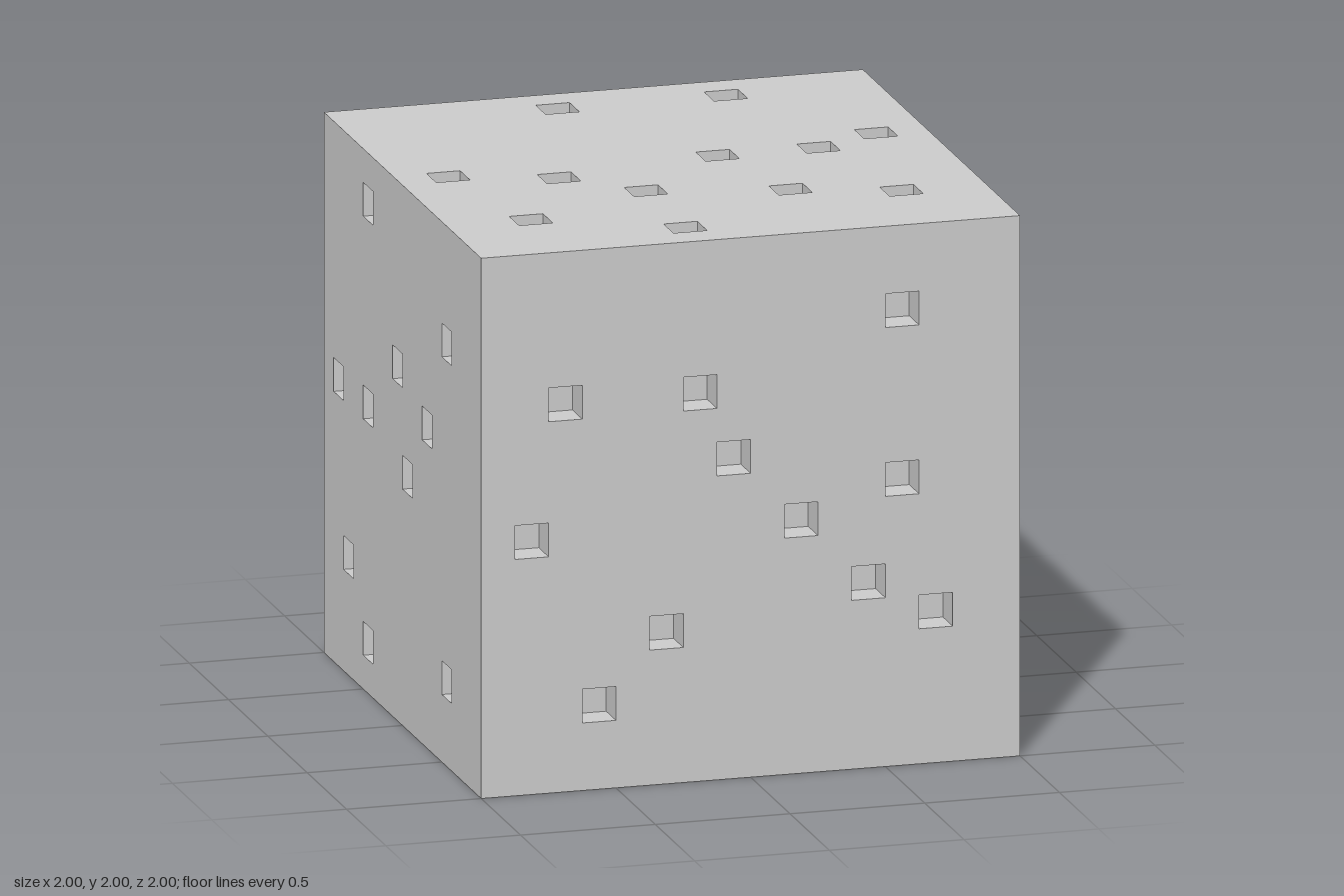
import * as THREE from 'three';
import { mergeGeometries } from 'three/addons/utils/BufferGeometryUtils.js';

const CELL = 2 / 16; // each face is a 16 x 16 grid; a pocket is one cell wide and deep
const H = Math.PI / 2;

// Pocket cells [column, row] of each face, counted from its lower left corner seen from outside
const FACES = {
  front: { turn: [0, 0], cells: [[2, 11], [6, 11], [12, 13], [7, 9], [12, 8], [1, 7], [9, 7], [11, 5], [13, 4], [5, 4], [3, 2]] },
  plusX: { turn: [0, H], cells: [[1, 12], [6, 13], [5, 10], [13, 11], [8, 8], [4, 6], [14, 6], [2, 5], [9, 5], [4, 2], [12, 2], [6, 1]] },
  back: { turn: [0, Math.PI], cells: [[5, 13], [9, 13], [1, 10], [3, 9], [8, 10], [14, 12], [2, 5], [6, 5], [12, 7], [8, 1]] },
  minusX: { turn: [0, -H], cells: [[4, 14], [12, 12], [7, 10], [10, 9], [4, 8], [8, 7], [1, 8], [12, 2], [2, 3], [4, 1]] },
  top: { turn: [-H, 0], cells: [[6, 14], [11, 14], [1, 8], [4, 7], [9, 8], [12, 8], [14, 9], [6, 5], [10, 4], [2, 3], [13, 3], [6, 1]] },
  bottom: { turn: [H, 0], cells: [[14, 3], [12, 1], [8, 1], [11, 8], [8, 8], [5, 5], [2, 3], [12, 13], [3, 8], [1, 8], [1, 11], [5, 14], [3, 13]] },
};

const centre = (i) => -1 + (i + 0.5) * CELL;

function square(path, x, y, half) {
  path.moveTo(x - half, y - half);
  path.lineTo(x + half, y - half);
  path.lineTo(x + half, y + half);
  path.lineTo(x - half, y + half);
  path.closePath();
  return path;
}

// Open square recess: a floor and four inward-facing walls
function pocketGeometry(x, y) {
  const parts = [new THREE.PlaneGeometry(CELL, CELL).translate(0, 0, -CELL)];
  for (let i = 0; i < 4; i++) {
    parts.push(new THREE.PlaneGeometry(CELL, CELL).rotateX(-H)
      .translate(0, -CELL / 2, -CELL / 2).rotateZ(i * H));
  }
  return mergeGeometries(parts).translate(x, y, 0);
}

export function createModel() {
  const model = new THREE.Group();
  model.name = 'pocketedCube';
  const material = new THREE.MeshStandardMaterial({ color: 0xcccccc });

  for (const [name, { turn, cells }] of Object.entries(FACES)) {
    const face = new THREE.Group();
    face.name = name + 'Face';

    // Flat panel with square openings
    const outline = square(new THREE.Shape(), 0, 0, 1);
    const pockets = [];
    for (const [col, row] of cells) {
      const x = centre(col), y = centre(row);
      outline.holes.push(square(new THREE.Path(), x, y, CELL / 2));
      pockets.push(pocketGeometry(x, y));
    }
    const panel = new THREE.Mesh(new THREE.ShapeGeometry(outline), material);
    panel.name = name + 'Panel';

    // Recesses behind the openings
    const recesses = new THREE.Mesh(mergeGeometries(pockets), material);
    recesses.name = name + 'Pockets';

    panel.position.z = recesses.position.z = 1;
    face.add(panel, recesses);
    face.rotation.set(turn[0], turn[1], 0);
    face.position.y = 1;
    model.add(face);
  }
  return model;
}
